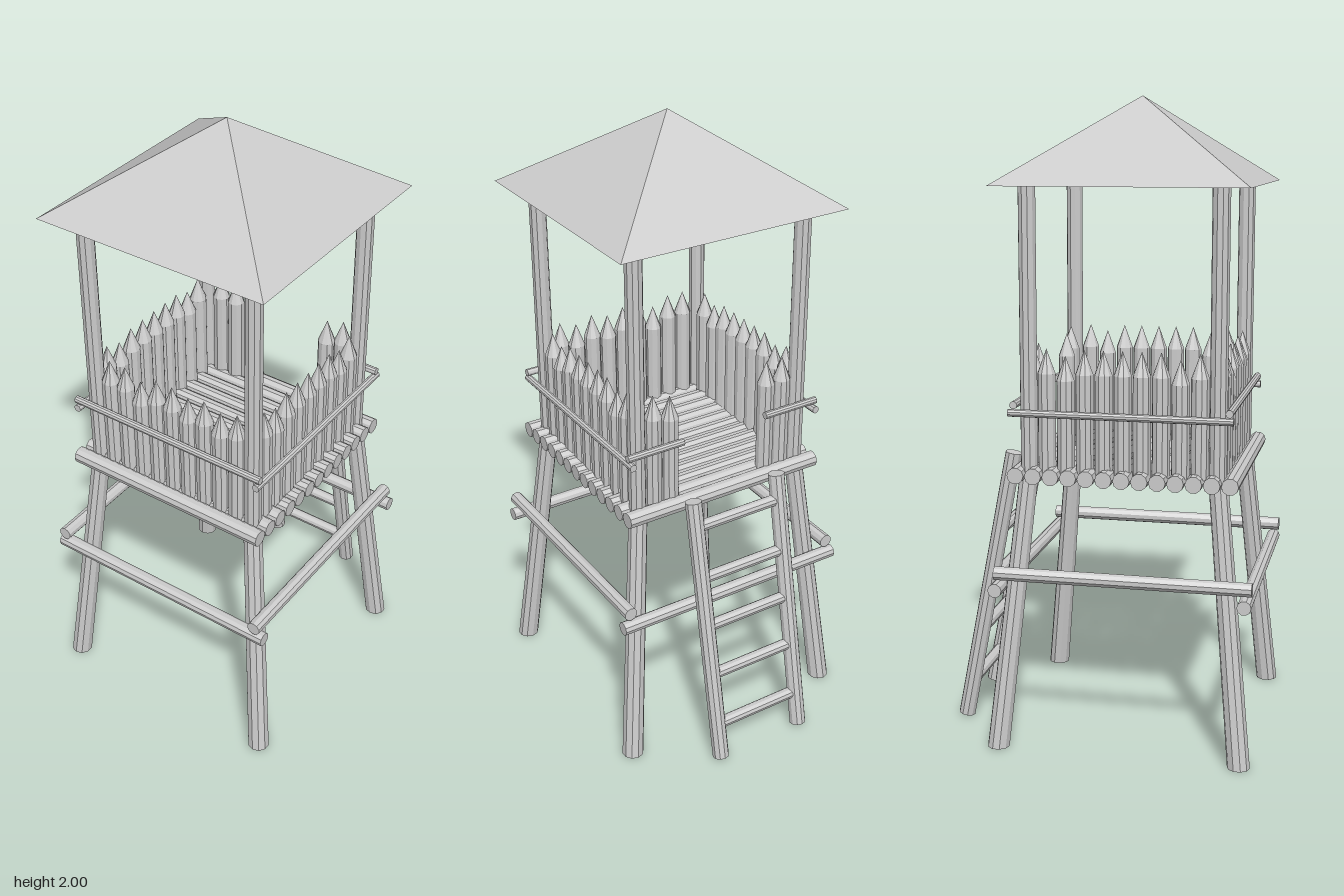
import * as THREE from 'three';

const SIDES = 10;
const CZ = 0.083; // tower centre in z (the ladder leans out behind it)
const wood = new THREE.MeshStandardMaterial({ color: 0xcccccc, flatShading: true });

function add(parent, name, geometry) {
  const mesh = new THREE.Mesh(geometry, wood);
  mesh.name = name;
  parent.add(mesh);
  return mesh;
}

// Round log running between two points
function log(parent, name, from, to, radius) {
  const a = new THREE.Vector3(...from), b = new THREE.Vector3(...to);
  const dir = b.clone().sub(a);
  const mesh = add(parent, name, new THREE.CylinderGeometry(radius, radius, dir.length(), SIDES));
  mesh.position.copy(a).add(b).multiplyScalar(0.5);
  mesh.quaternion.setFromUnitVectors(new THREE.Vector3(0, 1, 0), dir.normalize());
  return mesh;
}

// Upright stake with a sharpened tip
function stake(parent, x, z, top) {
  const base = 0.87, tip = 0.075, r = 0.028;
  const profile = [[0, base], [r, base], [r, top - tip], [0, top]].map(p => new THREE.Vector2(...p));
  add(parent, 'stake', new THREE.LatheGeometry(profile, SIDES)).position.set(x, 0, z);
}

// Leg leaning from the ground to the platform, cut level at both ends
function leg(parent, sx, sz) {
  const h = 0.85, g = new THREE.CylinderGeometry(0.03, 0.035, h, SIDES).translate(0, h / 2, 0);
  const p = g.attributes.position;
  for (let i = 0; i < p.count; i++) {
    const splay = 0.378 - 0.084 * p.getY(i) / h;
    p.setX(i, p.getX(i) + sx * splay);
    p.setZ(i, p.getZ(i) + sz * splay);
  }
  add(parent, 'leg', g).position.z = CZ;
}

export function createModel() {
  const model = new THREE.Group();
  const group = name => {
    const g = new THREE.Group();
    g.name = name;
    model.add(g);
    return g;
  };

  // Splayed legs and the posts that carry the roof
  const frame = group('frame');
  for (const sx of [-1, 1]) for (const sz of [-1, 1]) {
    leg(frame, sx, sz);
    const x = sx * 0.293, z = CZ + sz * 0.291;
    log(frame, 'roofPost', [x, 0.85, z], [x, 1.745, z], 0.027);
  }

  // Cross rails tied to the outside of the legs
  const braces = group('braces');
  for (const s of [-1, 1]) {
    const z = CZ + 0.006 + s * 0.383;
    log(braces, 'crossRail', [-0.403, 0.513, z], [0.403, 0.513, z], 0.022);
    log(braces, 'sideRail', [s * 0.376, 0.562, -0.3], [s * 0.376, 0.562, 0.493], 0.022);
  }

  // Platform of parallel logs
  const platform = group('platform');
  for (let i = 0; i < 13; i++) {
    const z = 0.418 - i * 0.0548;
    log(platform, 'floorLog', [-0.348, 0.864, z], [0.348, 0.864, z], 0.026);
  }

  // Palisade on four sides, with an entrance gap at the back
  const palisade = group('palisade');
  const frontTops = [1.25, 1.25, 1.222, 1.25, 1.25, 1.235, 1.25, 1.232, 1.25];
  const sideTops = [1.25, 1.23, 1.25, 1.25, 1.25, 1.25, 1.25, 1.23, 1.25];
  for (let i = 0; i < 9; i++) {
    const t = (i - 4) * 0.0588;
    stake(palisade, t, CZ + 0.291, frontTops[i]);
    if (Math.abs(i - 4) > 2) stake(palisade, t, CZ - 0.291, frontTops[i]);
    for (const s of [-1, 1]) stake(palisade, s * 0.291, CZ - t, sideTops[i]);
  }

  // Thin rails binding the stakes
  const rails = group('palisadeRails');
  log(rails, 'frontBinding', [-0.345, 1.082, 0.413], [0.345, 1.082, 0.413], 0.012);
  for (const s of [-1, 1]) {
    log(rails, 'backBinding', [s * 0.345, 1.082, -0.243], [s * 0.15, 1.082, -0.243], 0.012);
    log(rails, 'sideBinding', [s * 0.335, 1.057, -0.262], [s * 0.335, 1.057, 0.425], 0.012);
  }

  // Leaning ladder
  const ladder = group('ladder');
  const railZ = y => -0.469 + 0.193 * y;
  for (const x of [-0.163, 0.147])
    log(ladder, 'ladderRail', [x, 0.006, railZ(0)], [x, 0.896, railZ(0.896)], 0.027);
  for (const y of [0.122, 0.302, 0.472, 0.637, 0.81])
    log(ladder, 'rung', [-0.15, y, railZ(y)], [0.135, y, railZ(y)], 0.019);

  // Four-sided roof, hollow below with a flat rim
  const d = Math.SQRT2;
  const profile = [[0, 1.93], [0.285 * d, 1.735], [0.387 * d, 1.735], [0, 2]].map(p => new THREE.Vector2(...p));
  add(model, 'roof', new THREE.LatheGeometry(profile, 4, Math.PI / 4)).position.z = CZ;

  return model;
}
